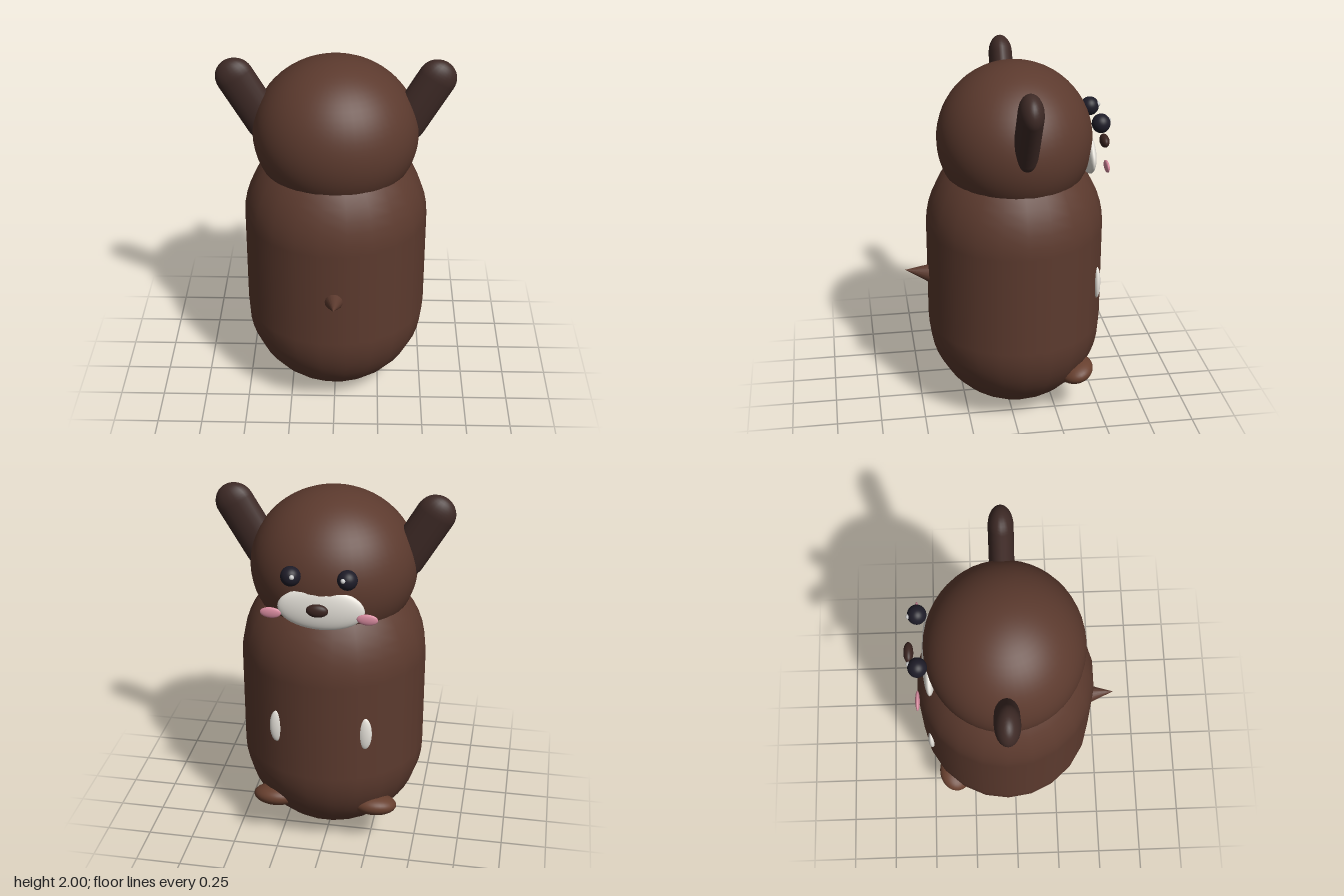
import * as THREE from 'three';

const mat = (color) => new THREE.MeshStandardMaterial({ color });
const brown = mat(0x5c3a2e);
const darkBrown = mat(0x3e2a26);
const footBrown = mat(0x68402f);
const noseBrown = mat(0x3a2420);
const cream = mat(0xe8e4dc);
const eyeBlack = mat(0x1e1c28);
const white = mat(0xffffff);
const pink = mat(0xd98ca0);

export function createModel() {
  const model = new THREE.Group();

  const add = (name, geometry, material, position, scale = [1, 1, 1], rotation = [0, 0, 0]) => {
    const mesh = new THREE.Mesh(geometry, material);
    mesh.name = name;
    mesh.position.set(...position);
    mesh.scale.set(...scale);
    mesh.rotation.set(...rotation);
    model.add(mesh);
  };
  const ball = new THREE.SphereGeometry(1, 32, 24);
  const ellipsoid = (name, material, position, radii, rotation) =>
    add(name, ball, material, position, radii, rotation);

  // Body and head, slightly flattened front to back
  const bodyZ = -0.047;
  add('body', new THREE.CapsuleGeometry(0.508, 0.565, 12, 22), brown, [0, 0.795, bodyZ], [1, 1, 0.968]);
  add('head', new THREE.SphereGeometry(1, 48, 32), brown, [0, 1.58, bodyZ], [0.449, 0.42, 0.423]);

  // Muzzle and nose; the face looks towards -z
  ellipsoid('muzzle', cream, [0, 1.495, -0.443], [0.228, 0.118, 0.038]);
  ellipsoid('nose', noseBrown, [0, 1.535, -0.548], [0.057, 0.035, 0.026]);

  // Tail spike, tilted slightly upwards
  add('tail', new THREE.ConeGeometry(0.055, 0.15, 16), brown, [0, 0.81, 0.497], [1, 1, 1], [Math.PI / 2 - 0.2, 0, 0]);

  // Paired parts
  const earShape = new THREE.CapsuleGeometry(0.105, 0.3, 10, 20);
  for (const [side, s] of [['left', 1], ['right', -1]]) {
    add(side + 'Ear', earShape, darkBrown, [s * 0.458, 1.765, -0.048], [1, 1, 0.63], [0, 0, -s * 0.53]);
    ellipsoid(side + 'Eye', eyeBlack, [s * 0.145, 1.69, -0.492], [0.052, 0.052, 0.05]);
    ellipsoid(side + 'EyeHighlight', white, [s * 0.13, 1.703, -0.535], [0.013, 0.013, 0.013]);
    ellipsoid(side + 'Cheek', pink, [s * 0.25, 1.485, -0.506], [0.055, 0.03, 0.012]);
    ellipsoid(side + 'BellySpot', cream, [s * 0.24, 0.79, -0.475], [0.038, 0.095, 0.02]);
    ellipsoid(side + 'Foot', footBrown, [s * 0.28, 0.265, -0.36], [0.125, 0.06, 0.1], [0.3, 0, 0]);
  }
  return model;
}
